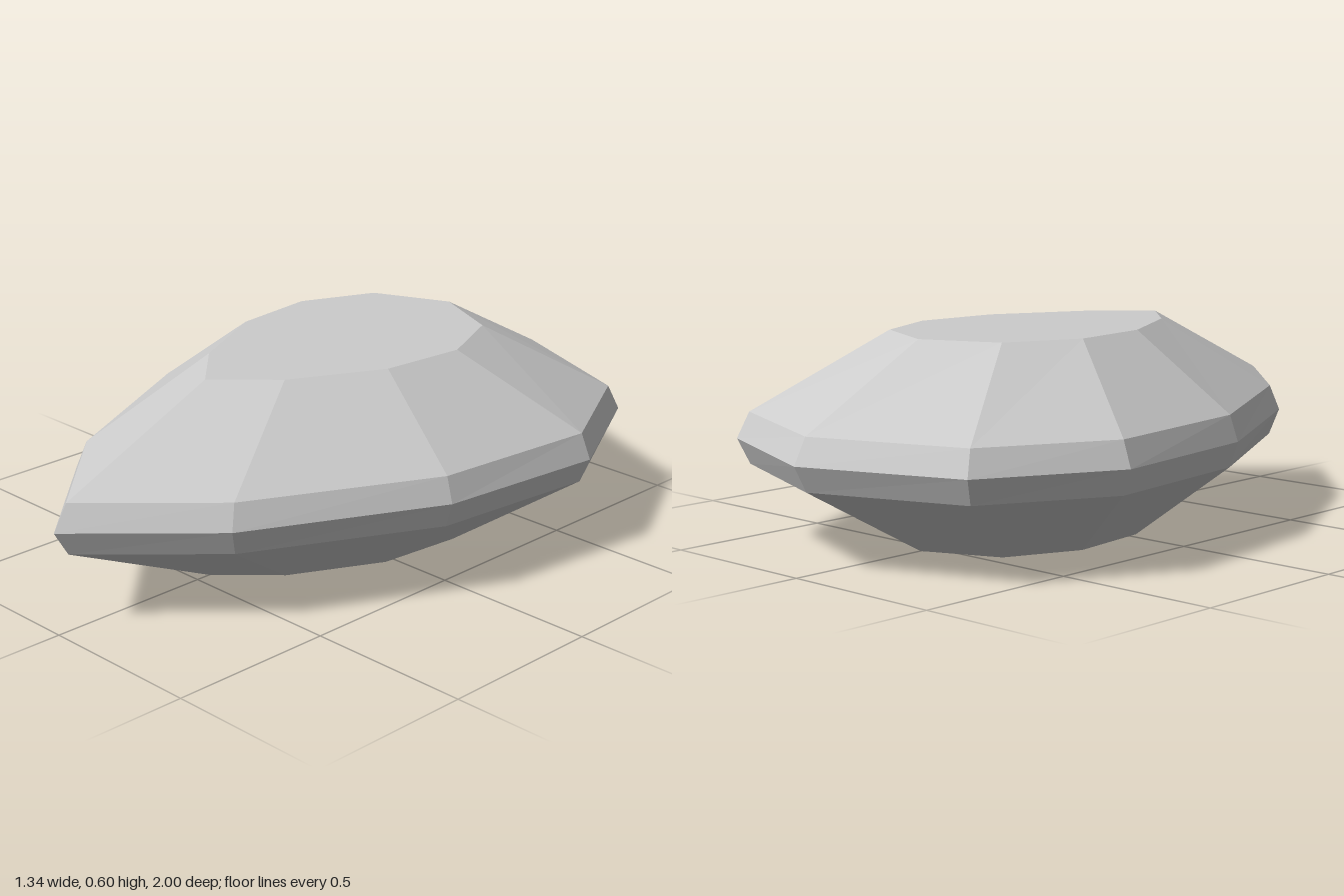
import * as THREE from 'three';

// Half outlines [x, z] from back tip to front tip, mirrored into closed rings
const girdle = [[0, -1], [0.465, -0.82], [0.67, -0.425], [0.61, 0.1], [0.33, 0.66], [0, 1]];
const shoulder = [[0, -0.96], [0.445, -0.79], [0.64, -0.42], [0.585, 0.095], [0.312, 0.635], [0, 0.955]];
const table = [[0, -0.55], [0.225, -0.45], [0.322, -0.23], [0.295, 0.03], [0.157, 0.3], [0, 0.455]];

function ring(half, y) {
  const mirrored = half.slice(1, -1).reverse().map(([x, z]) => [-x, z]);
  return [...half, ...mirrored].map(([x, z]) => [x, y, z]);
}

export function createModel() {
  const group = new THREE.Group();
  group.name = 'gem';

  // Rings from the bottom table up to the top table
  const rings = [
    ring(table, 0), ring(shoulder, 0.225), ring(girdle, 0.3),
    ring(shoulder, 0.375), ring(table, 0.597),
  ];
  const n = rings[0].length;
  const position = [];
  const tri = (a, b, c) => position.push(...a, ...b, ...c);

  // Side facets
  for (let r = 0; r < rings.length - 1; r++) {
    const lo = rings[r], hi = rings[r + 1];
    for (let i = 0; i < n; i++) {
      const j = (i + 1) % n;
      tri(lo[j], lo[i], hi[i]);
      tri(lo[j], hi[i], hi[j]);
    }
  }
  // Flat top and bottom tables
  const bottom = rings[0], top = rings[rings.length - 1];
  for (let i = 1; i < n - 1; i++) {
    tri(bottom[0], bottom[i], bottom[i + 1]);
    tri(top[0], top[i + 1], top[i]);
  }

  const geometry = new THREE.BufferGeometry();
  geometry.setAttribute('position', new THREE.Float32BufferAttribute(position, 3));
  geometry.computeVertexNormals();

  const stone = new THREE.Mesh(
    geometry,
    new THREE.MeshStandardMaterial({ color: 0xcccccc, flatShading: true })
  );
  stone.name = 'facetedStone';
  group.add(stone);
  return group;
}
